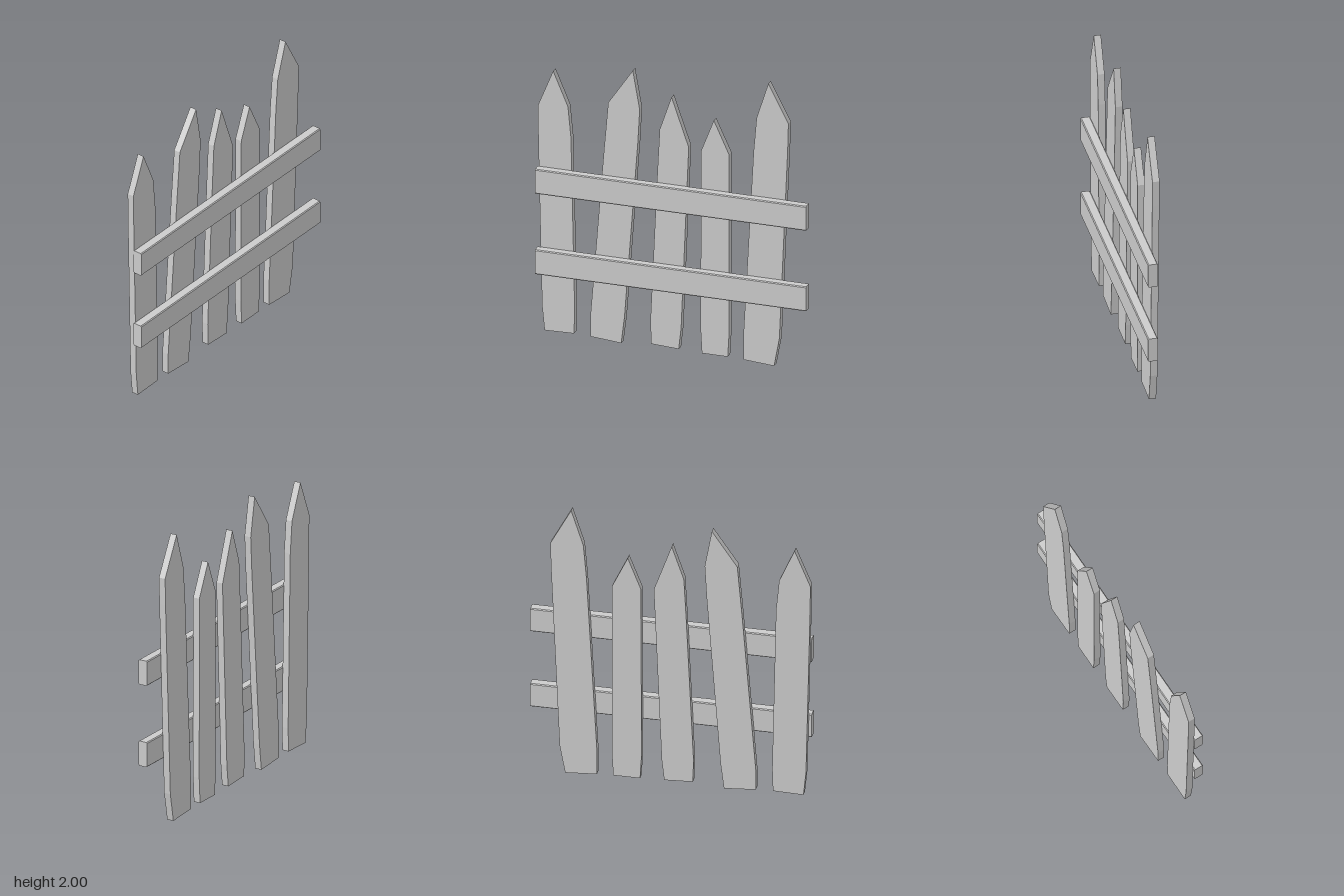
import * as THREE from 'three';

const material = new THREE.MeshStandardMaterial({ color: 0xcccccc, flatShading: true });

// Picket outlines as [z, y], from the bottom corner round over the tip
const pickets = [
  [[0.90, 0.03], [0.695, 0.035], [0.69, 0.2], [0.716, 1.42], [0.737, 1.64], [0.84, 1.88], [0.947, 1.62], [0.943, 1.35], [0.917, 0.2]],
  [[0.58, 0.03], [0.366, 0.013], [0.343, 0.2], [0.25, 1.45], [0.237, 1.69], [0.285, 1.96], [0.456, 1.71], [0.488, 1.34], [0.58, 0.18]],
  [[0.157, 0.037], [-0.035, 0.027], [-0.052, 0.18], [-0.102, 1.4], [-0.103, 1.475], [0.015, 1.81], [0.097, 1.57], [0.112, 1.29], [0.162, 0.2]],
  [[-0.197, 0.02], [-0.377, 0.02], [-0.387, 0.2], [-0.385, 1.46], [-0.28, 1.685], [-0.192, 1.46], [-0.187, 0.2]],
  [[-0.487, 0.015], [-0.70, 0], [-0.737, 0.2], [-0.795, 1.55], [-0.80, 1.735], [-0.66, 2], [-0.578, 1.745], [-0.557, 1.5], [-0.487, 0.2]],
];

function add(group, name, geometry) {
  const mesh = new THREE.Mesh(geometry, material);
  mesh.name = name;
  group.add(mesh);
  return mesh;
}

export function createModel() {
  const group = new THREE.Group();
  group.name = 'picketFence';

  // Uneven pointed boards, cut flat and turned to face +x
  pickets.forEach((outline, i) => {
    const shape = new THREE.Shape(outline.map(([z, y]) => new THREE.Vector2(-z, y)));
    const geometry = new THREE.ExtrudeGeometry(shape, { depth: 0.048, bevelEnabled: false });
    geometry.rotateY(Math.PI / 2).translate(-0.059, 0, 0);
    add(group, `picket${i + 1}`, geometry);
  });

  // Two rails with slightly chamfered long edges
  const w = 0.033, h = 0.087, c = 0.006;
  const profile = new THREE.Shape([
    [-w, c - h], [c - w, -h], [w - c, -h], [w, c - h],
    [w, h - c], [w - c, h], [c - w, h], [-w, h - c],
  ].map(([x, y]) => new THREE.Vector2(x, y)));
  const rail = new THREE.ExtrudeGeometry(profile, { depth: 1.89, bevelEnabled: false }).translate(0.021, 0, -0.945);
  add(group, 'lowerRail', rail).position.y = 0.533;
  add(group, 'upperRail', rail).position.y = 1.105;

  return group;
}
